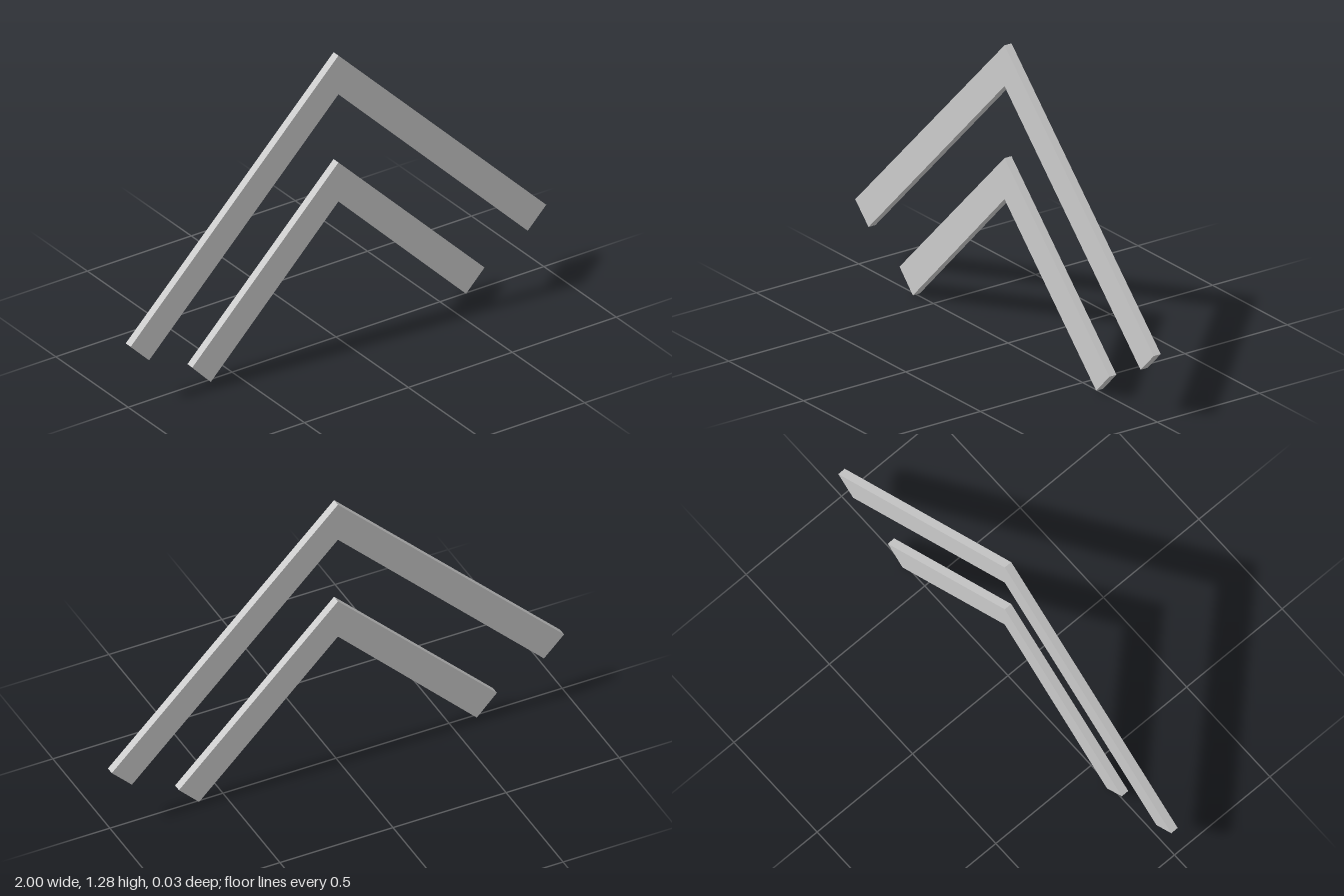
import * as THREE from 'three';

const DEPTH = 0.034;

// Flat bent bar: outline in the XY plane, extruded and centred on z = 0
function chevron(name, outline, material) {
  const shape = new THREE.Shape(outline.map(([x, y]) => new THREE.Vector2(x, y)));
  const geometry = new THREE.ExtrudeGeometry(shape, { depth: DEPTH, bevelEnabled: false });
  geometry.translate(0, 0, -DEPTH / 2);
  const mesh = new THREE.Mesh(geometry, material);
  mesh.name = name;
  return mesh;
}

export function createModel() {
  const group = new THREE.Group();
  group.name = 'doubleChevron';
  const material = new THREE.MeshStandardMaterial({ color: 0xcccccc, flatShading: true });

  // Outline order: apex, left end, inner corner, right end
  group.add(chevron('upperChevron', [
    [0, 1.279], [-1, 0.281], [-0.911, 0.192], [0, 1.104], [0.911, 0.198], [1, 0.287],
  ], material));
  group.add(chevron('lowerChevron', [
    [0, 0.796], [-0.703, 0.093], [-0.614, 0], [0, 0.62], [0.614, 0.008], [0.703, 0.098],
  ], material));

  return group;
}
